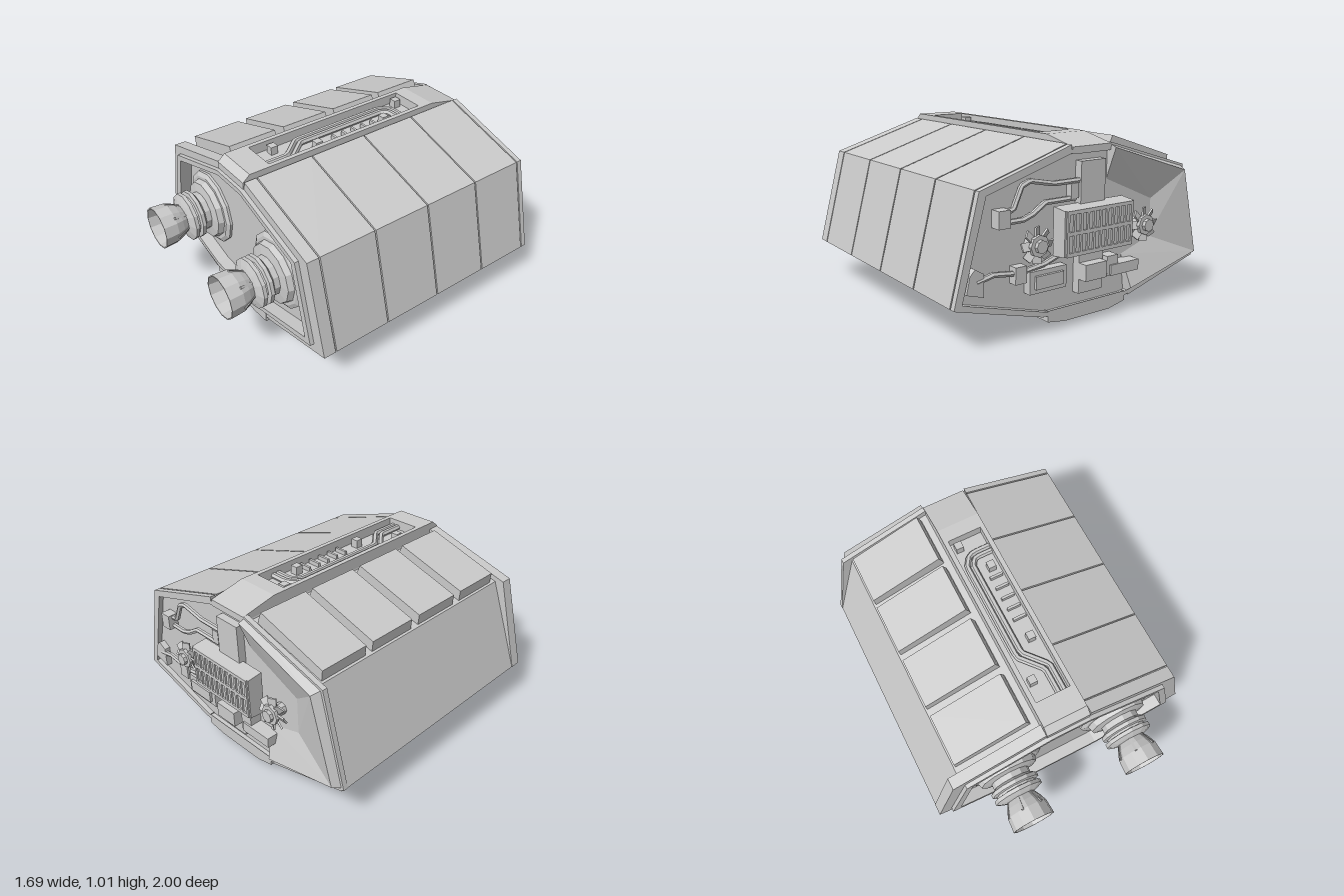
import * as THREE from 'three';

const grey = new THREE.MeshStandardMaterial({ color: 0xcccccc, flatShading: true, side: THREE.DoubleSide });
const green = new THREE.MeshStandardMaterial({ color: 0x00cc00, flatShading: true, side: THREE.DoubleSide });
const v2 = (pts) => pts.map(([x, y]) => new THREE.Vector2(x, y));

export function createModel() {
  const root = new THREE.Group();

  const add = (name, geo, parent = root, mat = grey) => {
    const m = new THREE.Mesh(geo, mat);
    m.name = name;
    parent.add(m);
    return m;
  };
  const group = (name) => {
    const g = new THREE.Group();
    g.name = name;
    root.add(g);
    return g;
  };
  const box = (name, x0, x1, y0, y1, z0, z1, parent) =>
    add(name, new THREE.BoxGeometry(x1 - x0, y1 - y0, z1 - z0)
      .translate((x0 + x1) / 2, (y0 + y1) / 2, (z0 + z1) / 2), parent);
  // cross-section in x,y extruded between two depths
  const slab = (name, pts, z0, z1, hole, parent) => {
    const s = new THREE.Shape(v2(pts));
    if (hole) s.holes.push(new THREE.Path(v2(hole)));
    return add(name, new THREE.ExtrudeGeometry(s, { depth: z1 - z0, bevelEnabled: false }).translate(0, 0, z0), parent);
  };
  // side profile in z,y extruded across x
  const beam = (name, pts, x0, x1, parent) =>
    add(name, new THREE.ExtrudeGeometry(new THREE.Shape(v2(pts.map(([z, y]) => [-z, y]))),
      { depth: x1 - x0, bevelEnabled: false }).rotateY(Math.PI / 2).translate(x0, 0, 0), parent);
  // skin between successive rows of 3D points
  const loft = (rows, closed = false) => {
    const pos = [], n = rows[0].length;
    for (let i = 0; i < rows.length - 1; i++)
      for (let j = 0; j < (closed ? n : n - 1); j++) {
        const k = (j + 1) % n;
        const [a, b, c, d] = [rows[i][j], rows[i][k], rows[i + 1][k], rows[i + 1][j]];
        pos.push(...a, ...b, ...c, ...a, ...c, ...d);
      }
    if (closed) {
      const f = rows[0], l = rows[rows.length - 1];
      for (let j = 1; j < n - 1; j++) pos.push(...f[0], ...f[j + 1], ...f[j], ...l[0], ...l[j], ...l[j + 1]);
    }
    const g = new THREE.BufferGeometry();
    g.setAttribute('position', new THREE.Float32BufferAttribute(pos, 3));
    g.computeVertexNormals();
    return g;
  };
  const pipe = (name, pts, r, parent) => {
    const path = new THREE.CurvePath();
    const p = pts.map((q) => new THREE.Vector3(...q));
    for (let i = 0; i < p.length - 1; i++) path.add(new THREE.LineCurve3(p[i], p[i + 1]));
    return add(name, new THREE.TubeGeometry(path, 40, r, 6), parent);
  };

  // hull: the right side and roof sit deeper than the rims at both ends
  const leftHalf = [[-0.28, 0.092], [0.28, 0.092], [0.835, 0.25], [0.69, 0.79], [0.14, 0.955], [0.125, 0.95], [-0.135, 0.95]];
  const body = [...leftHalf, [-0.14, 0.93], [-0.655, 0.785], [-0.845, 0.25]];
  const rim = [...leftHalf, [-0.14, 0.97], [-0.71, 0.8], [-0.847, 0.25]];
  const frame = [[-0.24, 0.145], [0.24, 0.145], [0.755, 0.275], [0.63, 0.77], [0.12, 0.93],
    [-0.12, 0.93], [-0.64, 0.77], [-0.765, 0.275]];
  const opening = [[-0.24, 0.175], [0.24, 0.175], [0.705, 0.3], [0.595, 0.745], [0.12, 0.9],
    [-0.12, 0.9], [-0.605, 0.745], [-0.71, 0.3]];
  slab('hull', body, -0.88, 0.62);
  slab('frontRim', rim, 0.6, 0.67, opening);
  slab('frontFrame', frame, 0.67, 0.695, opening);
  slab('backRim', rim, -0.91, -0.88, rim.map(([x, y]) => [x * 0.96, 0.5 + (y - 0.5) * 0.95]));

  // thin armour bands separated by grooves
  const bands = [[0.595, 0.67], [0.23, 0.587], [-0.145, 0.222], [-0.515, -0.153], [-0.87, -0.523], [-0.91, -0.878]];
  const armour = group('armourBands');
  for (const [z0, z1] of bands) {
    slab('leftBand', [[0.3, 0.092], [0.848, 0.243], [0.703, 0.803], [0.135, 0.978], [0.135, 0.95],
      [0.68, 0.785], [0.825, 0.255], [0.3, 0.11]], z0, z1, null, armour);
    slab('rightLowerBand', [[-0.31, 0.092], [-0.305, 0.11], [-0.83, 0.26], [-0.832, 0.238]], z0, z1, null, armour);
  }
  // thick raised plates on the right of the roof
  for (const z of [-0.85, -0.49, -0.12, 0.25])
    slab('raisedPlate', [[-0.64, 0.775], [-0.175, 0.905], [-0.188, 0.955], [-0.206, 0.995], [-0.648, 0.852]],
      z, z + 0.31, null, armour);

  // spine with a sunken service channel
  const spine = group('spine');
  beam('spineFront', [[0.675, 0.93], [0.675, 0.972], [0.63, 1.01], [0.49, 1.01], [0.49, 0.93]], -0.138, 0.128, spine);
  beam('spineBack', [[-0.61, 0.93], [-0.61, 1.01], [-0.7, 1.01], [-0.91, 0.965], [-0.91, 0.93]], -0.138, 0.128, spine);
  box('spineRail', -0.138, -0.11, 0.92, 1.01, -0.61, 0.49, spine);
  box('spineRail', 0.1, 0.128, 0.93, 1.01, -0.61, 0.49, spine);
  for (const o of [0, 0.035])
    pipe('channelPipe', [[0.1, 0.965, -0.5 + o], [0, 0.965, -0.5 + o], [-0.035 + o * 0.4, 0.965, -0.49 + o],
      [-0.075 + o, 0.965, -0.43 + o * 0.4], [-0.075 + o, 0.965, 0.2 - o * 0.4], [0.035 + o, 0.965, 0.33 - o * 0.4],
      [0.035 + o, 0.965, 0.49]], 0.018, spine);
  for (const [x, z] of [[-0.065, -0.565], [0.05, -0.37], [0.05, 0.125], [-0.065, 0.36]])
    box('channelBlock', x - 0.023, x + 0.023, 0.94, 1.0, z - 0.023, z + 0.023, spine);
  for (let i = 0; i < 5; i++)
    box('channelRung', 0.01, 0.09, 0.94, 0.975, -0.31 + i * 0.073, -0.295 + i * 0.073, spine);

  // keel with a coloured underside
  const ends = [[-0.91, 0.04], [-0.7, 0], [0.62, 0], [0.675, 0.045]];
  const keel = group('keel');
  const leftSide = ([z, b]) => [[0.152, b, z], [0.272, 0.058, z], [0.272, 0.12, z]];
  const rightSide = ([z, b]) => [[-0.28, 0.12, z], [-0.28, 0.065, z], [-0.163, b, z]];
  add('keelLeftSide', loft(ends.map(leftSide)), keel);
  add('keelRightSide', loft(ends.map(rightSide)), keel);
  const bottom = ([z, b]) => [[-0.163, b, z], [0.152, b, z]];
  add('keelBottom', loft(ends.slice(0, 3).map(bottom)), keel, green);
  add('keelFrontChamfer', loft(ends.slice(2).map(bottom)), keel);
  for (const e of [ends[0], ends[3]])
    add('keelEnd', new THREE.ShapeGeometry(new THREE.Shape(v2([...rightSide(e), ...leftSide(e)])))
      .translate(0, 0, e[0]), keel);

  // pair of faceted thrusters
  const profile = [[0.235, 0.61], [0.235, 0.635], [0.21, 0.65], [0.19, 0.65], [0.18, 0.685], [0.12, 0.695],
    [0.12, 0.73], [0.15, 0.748], [0.15, 0.77], [0.125, 0.775], [0.125, 0.788], [0.15, 0.793], [0.15, 0.815],
    [0.115, 0.828], [0.088, 0.836], [0.107, 0.87], [0.125, 0.915], [0.131, 1], [0.124, 1], [0.115, 0.91],
    [0.08, 0.84], [0.045, 0.8], [0, 0.8]];
  for (const x of [-0.375, 0.367]) {
    const t = group('thruster');
    t.position.set(x, 0.505, 0);
    add('nozzle', new THREE.LatheGeometry(v2(profile), 12).rotateX(Math.PI / 2), t);
    for (let i = 0; i < 12; i += 2) {
      const rib = new THREE.BoxGeometry(0.014, 0.012, 0.09).rotateX(-0.45).translate(0, 0.104, 0.878);
      add('nozzleRib', rib.rotateZ((i + 0.5) * Math.PI / 6), t);
    }
  }

  // thick bevelled guard around the right half of the back: outer edge, ridge, inner edge
  const guard = [
    [[-0.14, 0.968], [-0.14, 0.945], [-0.14, 0.77]],
    [[-0.708, 0.8], [-0.675, 0.775], [-0.49, 0.62]],
    [[-0.845, 0.25], [-0.805, 0.275], [-0.49, 0.4]],
    [[-0.3, 0.1], [-0.3, 0.14], [-0.27, 0.33]],
  ].map((s, k) => s.map(([x, y], i) => [x, y, i === 1 ? [-0.945, -0.96, -0.955, -0.94][k] : -0.88]));
  add('backGuard', loft(guard, true));

  // machinery on the back
  const machine = group('backMachinery');
  box('centreStrip', -0.09, 0.08, 0.18, 0.89, -0.925, -0.87, machine);
  beam('ventHousing', [[-0.9, 0.41], [-0.9, 0.67], [-0.99, 0.66], [-0.99, 0.42]], -0.24, 0.24, machine);
  for (const y of [0.42, 0.53, 0.64]) box('ventBar', -0.23, 0.23, y, y + 0.02, -1, -0.985, machine);
  for (let i = 0; i <= 10; i++)
    box('ventSlat', -0.23 + i * 0.0445, -0.215 + i * 0.0445, 0.42, 0.66, -1, -0.985, machine);
  for (const x of [-0.37, 0.38]) {
    const fan = group('fan');
    fan.position.set(x, 0.5, -0.93);
    add('fanHub', new THREE.CylinderGeometry(0.035, 0.035, 0.12, 8).rotateX(Math.PI / 2), fan);
    add('fanRing', new THREE.CylinderGeometry(0.058, 0.058, 0.02, 8).rotateX(Math.PI / 2).translate(0, 0, -0.03), fan);
    for (let i = 0; i < 8; i++)
      add('fanBlade', new THREE.BoxGeometry(0.045, 0.06, 0.01).rotateY(0.5).translate(0, 0.065, -0.015)
        .rotateZ(i * Math.PI / 4), fan);
  }
  const boxes = [[0.54, 0.61, 0.61, 0.7, -0.94], [0.17, 0.41, 0.24, 0.36, -0.93], [0.2, 0.38, 0.265, 0.335, -0.945],
    [-0.07, 0.08, 0.26, 0.35, -0.98], [-0.33, -0.12, 0.25, 0.31, -0.96], [-0.18, -0.1, 0.25, 0.36, -0.95],
    [0.43, 0.5, 0.31, 0.4, -0.93], [0.09, 0.14, 0.7, 0.78, -0.92]];
  for (const [x0, x1, y0, y1, z] of boxes) box('backBox', x0, x1, y0, y1, z, -0.87, machine);
  slab('backTank', [[0.68, 0.28], [0.78, 0.31], [0.76, 0.4], [0.73, 0.43], [0.68, 0.4]], -0.915, -0.87, null, machine);
  const pipes = [
    [[0.57, 0.68], [0.5, 0.69], [0.45, 0.8], [0.4, 0.82], [0.25, 0.79], [0.05, 0.79]],
    [[0.57, 0.63], [0.44, 0.63], [0.38, 0.65], [0.3, 0.7], [0.1, 0.7]],
    [[0.72, 0.36], [0.62, 0.38], [0.46, 0.36], [0.3, 0.38], [0.15, 0.43]],
  ];
  for (const p of pipes) pipe('backPipe', p.map(([x, y]) => [x, y, -0.905]), 0.015, machine);

  return root;
}
